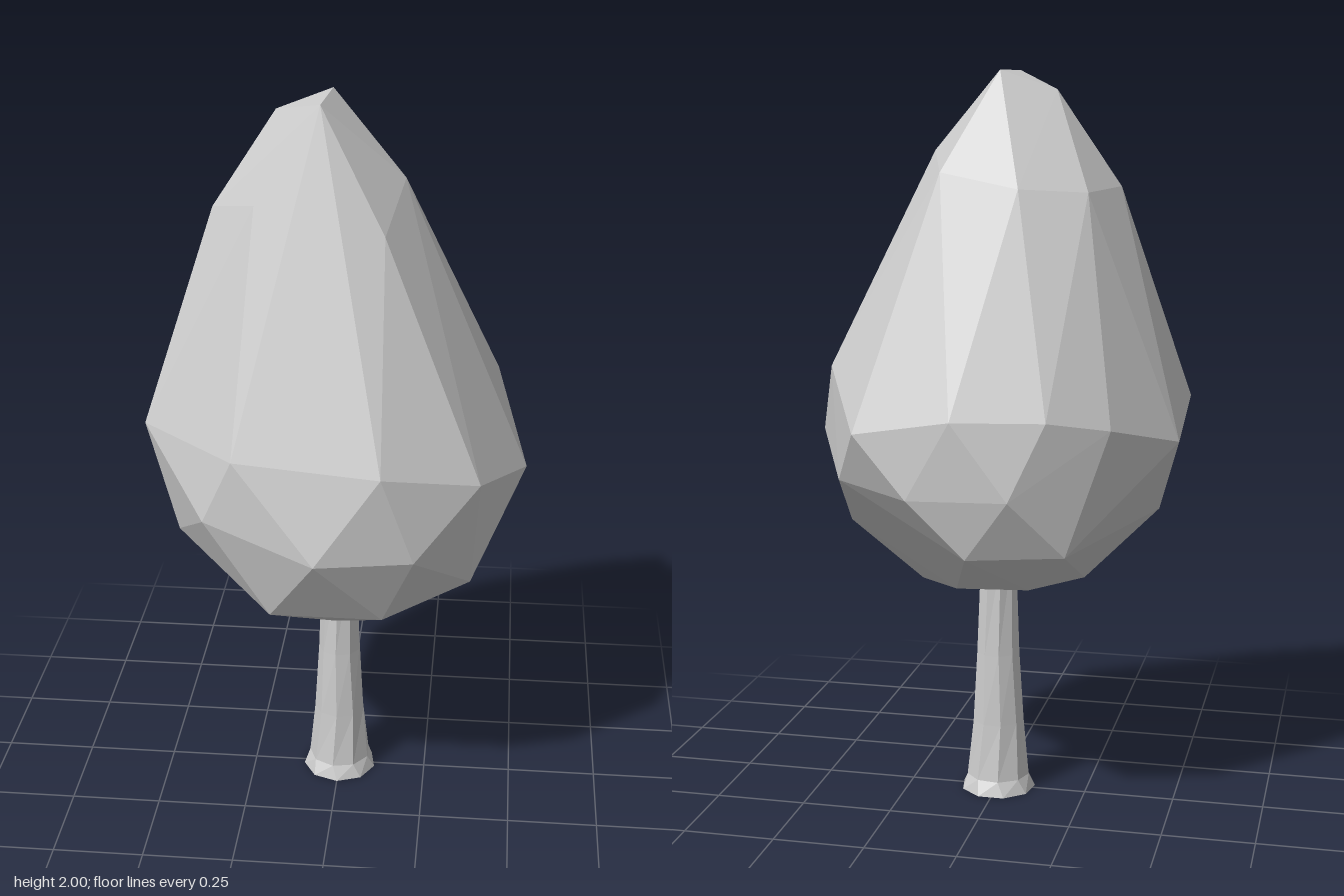
import * as THREE from 'three';
import { ConvexGeometry } from 'three/addons/geometries/ConvexGeometry.js';

// Corners of the faceted crown, in tiers from the tip down: x, y, z
const CROWN_TIERS = [
  // tip
  [-0.04, 2, 0.1, -0.025, 2, -0.09, -0.17, 1.95, -0.055],
  // shoulders
  [0.17, 1.79, -0.01, 0.13, 1.69, 0.18, -0.03, 1.66, 0.2, -0.21, 1.74, 0.11,
    -0.335, 1.7, -0.01, -0.27, 1.69, -0.15, -0.1, 1.7, -0.22, 0.11, 1.74, -0.2],
  // widest upper tier
  [0.425, 1.22, -0.155, 0.39, 1.07, 0.295, 0.14, 1.13, 0.415, -0.25, 1.13, 0.345,
    -0.515, 1.13, 0.11, -0.36, 1.1, -0.305, -0.21, 1.13, -0.4, 0.03, 1.13, -0.44, 0.3, 1.08, -0.39],
  // widest lower tier
  [0.51, 1.01, 0.035, 0.225, 0.885, 0.39, -0.03, 0.885, 0.437, -0.335, 0.94, 0.31,
    -0.51, 1.04, -0.1, -0.12, 0.93, -0.44, 0.15, 0.92, -0.425, 0.39, 0.92, -0.22],
  // underside
  [0.42, 0.76, -0.01, 0.37, 0.76, 0.24, 0.14, 0.67, 0.31, -0.16, 0.67, 0.31,
    -0.435, 0.81, 0.1, -0.25, 0.77, -0.34, 0, 0.765, -0.4],
  // base
  [0.23, 0.585, 0.05, 0, 0.55, 0.12, -0.23, 0.605, 0.08, 0.08, 0.62, -0.16, -0.12, 0.63, -0.17],
];

// Trunk tiers: height, radius, twist
const TRUNK_TIERS = [
  [0, 0.105, 0], [0.04, 0.088, 0.15], [0.2, 0.072, 0.05], [0.4, 0.06, 0.12], [0.68, 0.05, 0],
];

function trunkGeometry(sides) {
  const geo = new THREE.CylinderGeometry(1, 1, 1, sides, TRUNK_TIERS.length - 1);
  const pos = geo.attributes.position;
  for (let i = 0; i < pos.count; i++) {
    const tier = Math.round((pos.getY(i) + 0.5) * (TRUNK_TIERS.length - 1));
    const [y, r, twist] = TRUNK_TIERS[tier];
    const x = pos.getX(i), z = pos.getZ(i);
    const c = Math.cos(twist) * r, s = Math.sin(twist) * r;
    pos.setXYZ(i, x * c - z * s, y, x * s + z * c);
  }
  geo.computeVertexNormals();
  return geo;
}

export function createModel() {
  const grey = new THREE.MeshStandardMaterial({ color: 0xcccccc, flatShading: true });
  grey.name = 'light grey';
  const model = new THREE.Group();
  model.name = 'tree';

  // Faceted crown
  const points = CROWN_TIERS.flatMap((tier) =>
    Array.from({ length: tier.length / 3 }, (_, i) => new THREE.Vector3().fromArray(tier, i * 3)));
  const crown = new THREE.Mesh(new ConvexGeometry(points), grey);
  crown.name = 'crown';

  // Tapered trunk with a flared foot
  const trunk = new THREE.Mesh(trunkGeometry(9), grey);
  trunk.name = 'trunk';

  model.add(crown, trunk);
  return model;
}
